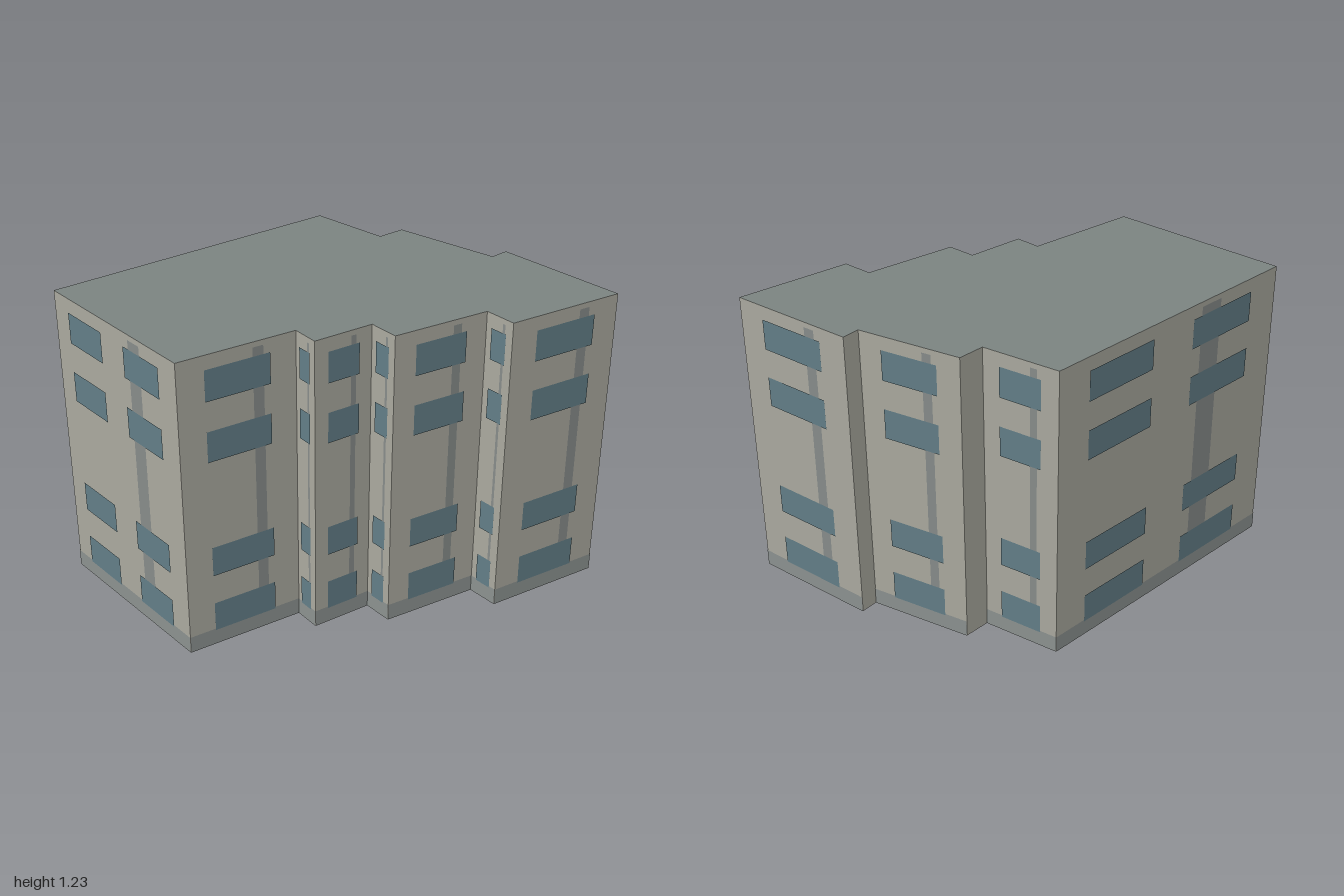
import * as THREE from 'three';

const HEIGHT = 1.23;

// Footprint corners [x, z], running left to right along the outside of each wall.
// The third value is the facade type of the wall that starts there.
const FOOTPRINT = [
  [-0.65, 0.56, 'single'], [-0.205, 0.415, 'single'],
  [-0.16, 0.51, 'single'], [0.065, 0.43, 'single'],
  [0.12, 0.535, 'single'], [0.49, 0.425, 'single'],
  [0.55, 0.535, 'single'], [1.0, 0.395, 'single'],
  [0.725, -0.055, 'blank'], [0.66, -0.02, 'single'],
  [0.39, -0.35, 'blank'], [0.29, -0.305, 'single'],
  [0.105, -0.565, 'double'], [-1.0, -0.1, 'double'],
];

// Window spans as fractions of the wall length
const BAYS = { blank: [], single: [[0.225, 0.775]], double: [[0.125, 0.405], [0.59, 0.87]] };
const ROWS = [0.065, 0.315, 0.805, 1.05]; // window sills
const WINDOW_HEIGHT = 0.125;

const paint = (color) => new THREE.MeshStandardMaterial({ color, side: THREE.DoubleSide });

export function createModel() {
  const model = new THREE.Group();
  model.name = 'apartmentBlock';
  const wallMat = paint(0xa9a89e);
  const roofMat = paint(0x7b8380);
  const plinthMat = paint(0x8b918f);
  const stripMat = paint(0x868b89);
  const glassMat = new THREE.MeshStandardMaterial({ color: 0x627d86 });

  // Upright rectangle in a wall's own frame: x along the wall, z outward
  function panel(parent, name, material, x0, x1, y0, y1, z) {
    const mesh = new THREE.Mesh(new THREE.PlaneGeometry(x1 - x0, y1 - y0), material);
    mesh.position.set((x0 + x1) / 2, (y0 + y1) / 2, z);
    mesh.name = name;
    parent.add(mesh);
  }

  // Walls with plinth, stairwell strip and window rows
  FOOTPRINT.forEach(([x, z, type], i) => {
    const [nx, nz] = FOOTPRINT[(i + 1) % FOOTPRINT.length];
    const length = Math.hypot(nx - x, nz - z);
    const facade = new THREE.Group();
    facade.name = 'facade';
    facade.position.set(x, 0, z);
    facade.rotation.y = Math.atan2(z - nz, nx - x);
    model.add(facade);

    panel(facade, 'wall', wallMat, 0, length, 0, HEIGHT, 0);
    if (type === 'blank') return;
    panel(facade, 'plinth', plinthMat, 0, length, 0, 0.07, 0.002);
    panel(facade, 'verticalStrip', stripMat, 0.63 * length, 0.72 * length, 0.07, 1.21, 0.002);
    for (const [a, b] of BAYS[type]) {
      for (const sill of ROWS) {
        panel(facade, 'window', glassMat, a * length, b * length, sill, sill + WINDOW_HEIGHT, 0.004);
      }
    }
  });

  // Flat roof; the underside of the building stays open
  const outline = new THREE.Shape(FOOTPRINT.map(([x, z]) => new THREE.Vector2(x, -z)));
  const roof = new THREE.Mesh(new THREE.ShapeGeometry(outline).rotateX(-Math.PI / 2), roofMat);
  roof.position.y = HEIGHT;
  roof.name = 'roof';
  model.add(roof);

  return model;
}
